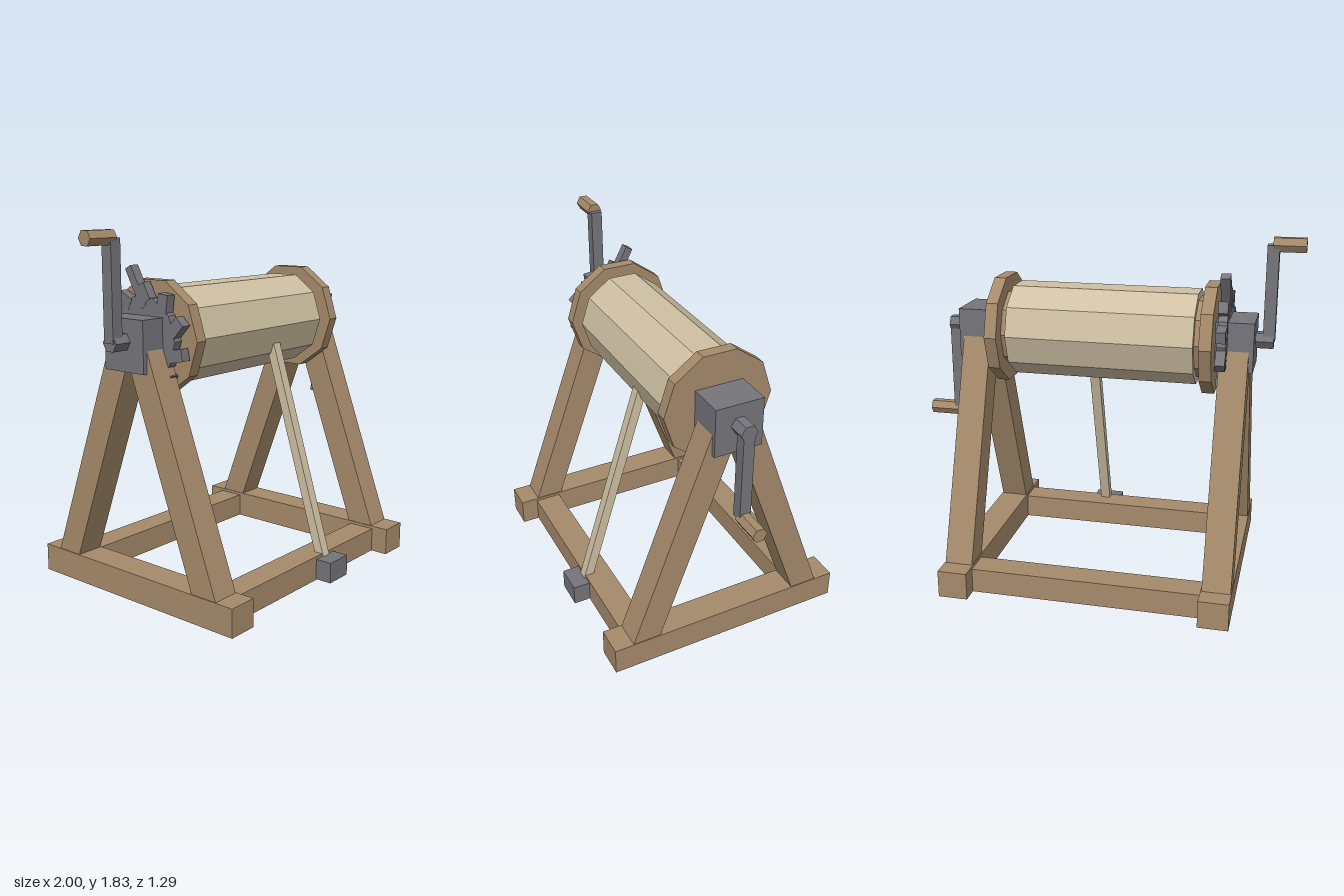
import * as THREE from 'three';

export function createModel() {
  const model = new THREE.Group();
  const wood = new THREE.MeshStandardMaterial({ color: 0xa58a6b });
  wood.name = 'wood';
  const cream = new THREE.MeshStandardMaterial({ color: 0xcfc0a3 });
  cream.name = 'pale wood';
  const iron = new THREE.MeshStandardMaterial({ color: 0x75757b });
  iron.name = 'iron';

  const AXIS_Y = 1.31;

  function add(name, geometry, material, x, y, z, parent = model) {
    const mesh = new THREE.Mesh(geometry, material);
    mesh.name = name;
    mesh.position.set(x, y, z);
    parent.add(mesh);
    return mesh;
  }

  // Box given by its extents
  function box(name, material, x0, x1, y0, y1, z0, z1) {
    return add(name, new THREE.BoxGeometry(x1 - x0, y1 - y0, z1 - z0), material,
      (x0 + x1) / 2, (y0 + y1) / 2, (z0 + z1) / 2);
  }

  // Faceted prism lying along x
  function prism(name, material, x0, x1, radius, sides, y = AXIS_Y) {
    const geometry = new THREE.CylinderGeometry(radius, radius, x1 - x0, sides)
      .rotateZ(Math.PI / 2).toNonIndexed();
    geometry.computeVertexNormals();
    return add(name, geometry, material, (x0 + x1) / 2, y, 0);
  }

  // Square bar leaning in the y-z plane
  function leaningBar(name, material, x, width, depth, y0, z0, y1, z1) {
    const length = Math.hypot(y1 - y0, z1 - z0);
    const bar = add(name, new THREE.BoxGeometry(width, length, depth), material,
      x, (y0 + y1) / 2, (z0 + z1) / 2);
    bar.rotation.x = Math.atan2(z1 - z0, y1 - y0);
    return bar;
  }

  // Ground frame
  box('leftSill', wood, 0.6, 0.755, 0, 0.145, -0.645, 0.645);
  box('rightSill', wood, -0.755, -0.6, 0, 0.145, -0.645, 0.645);
  box('frontCrossbeam', wood, -0.6, 0.6, 0, 0.13, 0.41, 0.552);
  box('backCrossbeam', wood, -0.6, 0.6, 0, 0.13, -0.557, -0.415);

  // A-frame legs and bearing blocks
  for (const side of [-1, 1]) {
    for (const end of [-1, 1]) {
      leaningBar('leg', wood, side * 0.678, 0.146, 0.14, 0.07, end * 0.495, 1.3, end * 0.043);
    }
    add('bearingBlock', new THREE.BoxGeometry(0.195, 0.255, 0.255), iron, side * 0.677, 1.292, 0);
  }

  // Drum with collars and flanges
  prism('drum', cream, -0.485, 0.485, 0.247, 10);
  for (const side of [-1, 1]) {
    const collar = prism('collar', wood, -0.02, 0.02, 0.21, 10);
    collar.position.x = side * 0.502;
    const flange = prism('flange', wood, -0.0315, 0.0315, 0.29, 10);
    flange.position.x = side * 0.55;
  }

  // Axle and the two opposed cranks
  prism('axle', iron, -0.865, 0.865, 0.045, 6);
  box('leftCrankArm', iron, 0.805, 0.865, 0.825, AXIS_Y, -0.03, 0.03);
  box('rightCrankArm', iron, -0.87, -0.81, AXIS_Y, 1.793, -0.03, 0.03);
  prism('leftHandle', wood, 0.838, 1.0, 0.04, 6, 0.825);
  prism('rightHandle', wood, -1.0, -0.838, 0.04, 6, 1.795);

  // Ratchet wheel with slanted teeth
  prism('ratchetWheel', iron, -0.643, -0.597, 0.205, 10);
  const teeth = new THREE.Group();
  teeth.name = 'ratchetTeeth';
  teeth.position.set(-0.62, AXIS_Y, 0);
  model.add(teeth);
  const toothCount = 10;
  for (let i = 0; i < toothCount; i++) {
    const a = (i / toothCount) * Math.PI * 2;
    const tooth = add('tooth', new THREE.BoxGeometry(0.05, 0.09, 0.06), iron,
      0, Math.cos(a) * 0.215, Math.sin(a) * 0.215, teeth);
    tooth.rotation.x = a - 0.5;
  }

  // Pawl resting on the ratchet
  leaningBar('pawl', iron, -0.62, 0.05, 0.042, 1.46, 0.005, 1.645, -0.095);

  // Leaning brake lever and its foot
  leaningBar('brakeLever', cream, 0.128, 0.054, 0.05, 0.08, 0.545, 1.21, 0.195);
  box('leverFoot', iron, 0.048, 0.204, 0.005, 0.115, 0.49, 0.642);

  return model;
}
